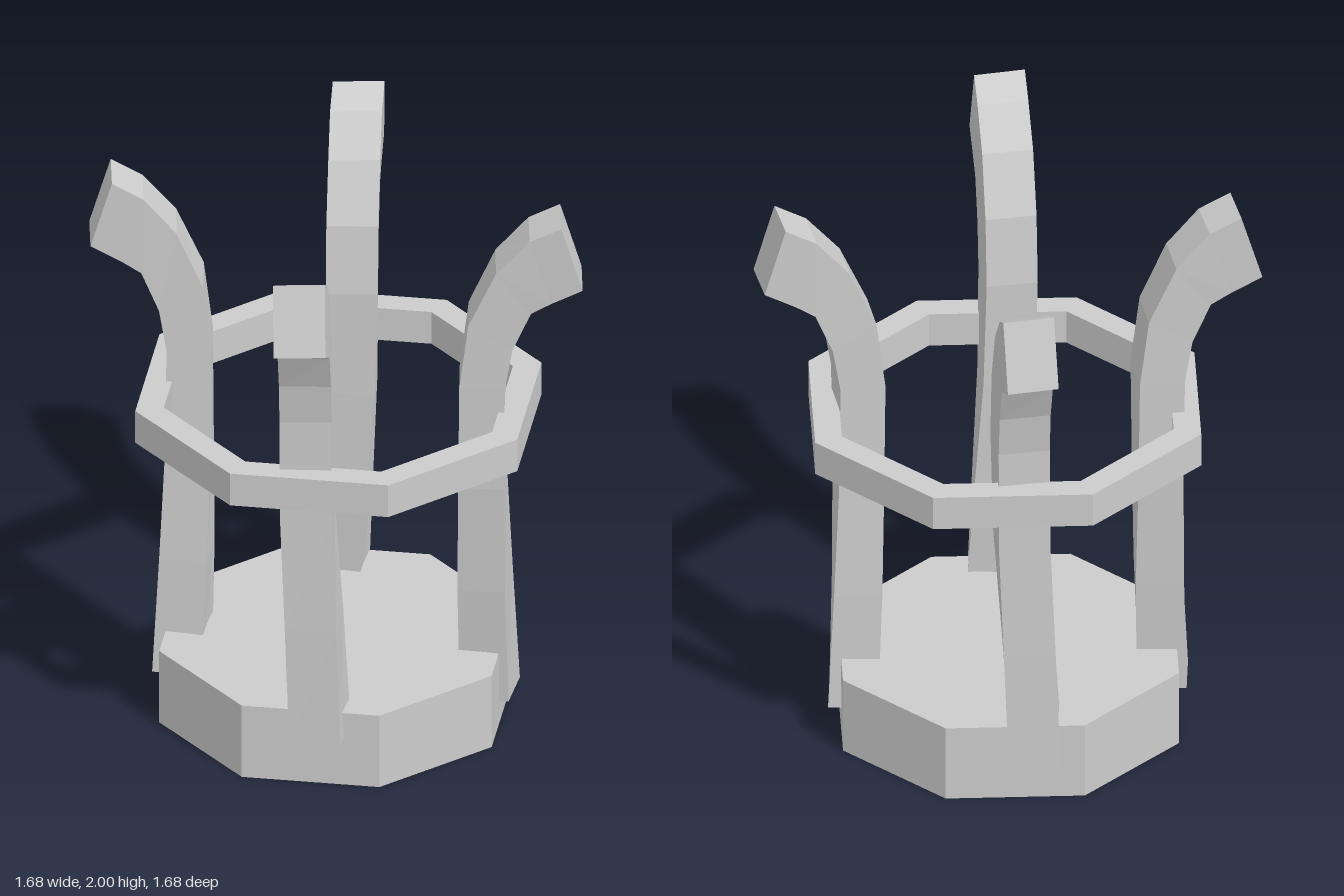
import * as THREE from 'three';

const material = new THREE.MeshStandardMaterial({ color: 0xcccccc, flatShading: true });
const DEG = Math.PI / 180;
const CORNER = 1 / Math.cos(Math.PI / 8); // apothem to corner radius of an octagon

function octagon(path, apothem) {
  const points = [];
  for (let i = 0; i < 8; i++) {
    const a = (i + 0.5) * Math.PI / 4;
    points.push(new THREE.Vector2(Math.cos(a), Math.sin(a)).multiplyScalar(apothem * CORNER));
  }
  return path.setFromPoints(points);
}

// Octagonal slab or ring standing on y = 0
function octagonPrism(name, height, apothem, holeApothem) {
  const shape = octagon(new THREE.Shape(), apothem);
  if (holeApothem) shape.holes.push(octagon(new THREE.Path(), holeApothem));
  const geometry = new THREE.ExtrudeGeometry(shape, { depth: height, bevelEnabled: false });
  geometry.rotateX(-Math.PI / 2);
  const mesh = new THREE.Mesh(geometry, material);
  mesh.name = name;
  return mesh;
}

// Prong cross-sections: outer z, outer y, inner z, inner y, sideways shift, yaw in degrees
const SECTIONS = [
  [0.595, 0.18, 0.43, 0.18, 0.022, -4],
  [0.58, 0.60, 0.42, 0.60, 0.006, 0],
  [0.57, 1.00, 0.42, 1.00, -0.01, 5],
  [0.57, 1.38, 0.42, 1.38, -0.012, 8],
  [0.595, 1.53, 0.45, 1.62, -0.01, 8],
  [0.655, 1.67, 0.54, 1.82, -0.005, 9],
  [0.72, 1.71, 0.65, 1.945, 0, 10],
  [0.825, 1.765, 0.755, 2.0, 0.007, 10],
];

// Slightly twisted rectangular bar that curls outward at the top
function prongGeometry() {
  const half = 0.086;
  const positions = [];
  const index = [];
  for (const [zo, yo, zi, yi, shift, yaw] of SECTIONS) {
    const c = Math.cos(yaw * DEG) * half;
    const s = Math.sin(yaw * DEG) * half;
    const xi = shift - Math.tan(yaw * DEG) * (zo - zi);
    positions.push(shift - c, yo, zo + s, shift + c, yo, zo - s);
    positions.push(xi + c, yi, zi - s, xi - c, yi, zi + s);
  }
  const last = (SECTIONS.length - 1) * 4;
  for (let i = 0; i < last; i += 4) {
    for (let j = 0; j < 4; j++) {
      const k = (j + 1) % 4;
      index.push(i + j, i + k, i + 4 + k, i + j, i + 4 + k, i + 4 + j);
    }
  }
  index.push(0, 2, 1, 0, 3, 2); // bottom cap
  index.push(last, last + 1, last + 2, last, last + 2, last + 3); // tip cap
  const indexed = new THREE.BufferGeometry();
  indexed.setAttribute('position', new THREE.Float32BufferAttribute(positions, 3));
  indexed.setIndex(index);
  const geometry = indexed.toNonIndexed();
  geometry.computeVertexNormals();
  return geometry;
}

export function createModel() {
  const group = new THREE.Group();
  group.name = 'prongedHolder';

  const base = octagonPrism('base', 0.27, 0.557);
  base.position.z = -0.022;
  group.add(base);

  const ring = octagonPrism('ring', 0.12, 0.64, 0.55);
  ring.position.set(0.01, 1.08, -0.008);
  group.add(ring);

  // Four prongs, each set by hand a little higher or lower
  const geometry = prongGeometry();
  const prongs = [
    ['frontProng', 0, 0, 0, 0],
    ['leftProng', 90, 0, -0.092, -0.013],
    ['backProng', 180, -0.042, -0.058, -0.003],
    ['rightProng', 270, 0, -0.063, -0.03],
  ];
  for (const [name, turn, x, y, z] of prongs) {
    const prong = new THREE.Mesh(geometry, material);
    prong.name = name;
    prong.rotation.y = turn * DEG;
    prong.position.set(x, y, z);
    group.add(prong);
  }
  return group;
}
